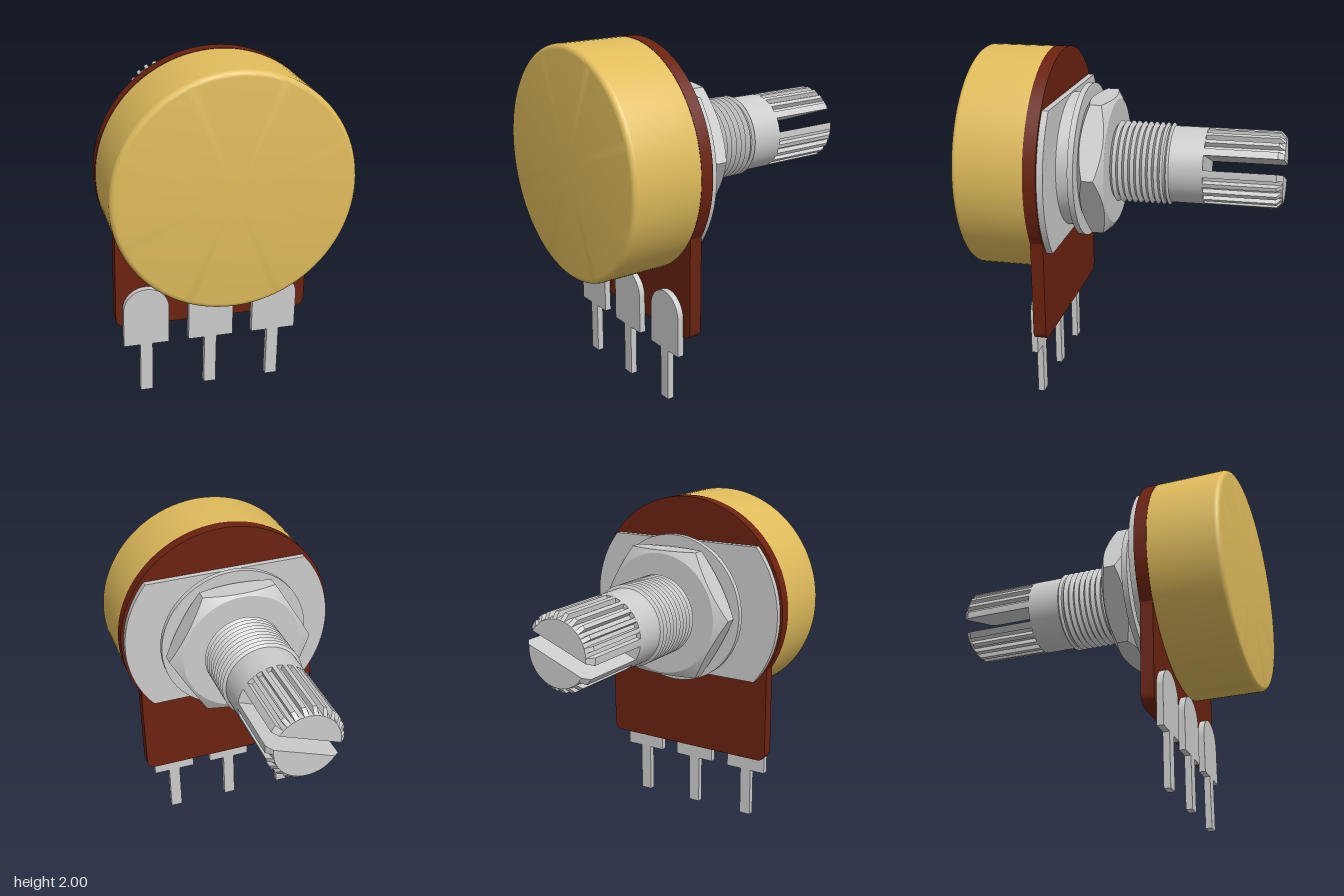
import * as THREE from 'three';
import { toCreasedNormals } from 'three/addons/utils/BufferGeometryUtils.js';

export function createModel() {
  const model = new THREE.Group();
  model.name = 'potentiometer';
  // everything hangs on the shaft axis, turned very slightly about it
  const body = new THREE.Group();
  body.name = 'body';
  body.position.y = 1.35;
  body.rotation.z = -0.0136;
  model.add(body);

  const metal = new THREE.MeshStandardMaterial({ color: 0xcccccc });
  const gold = new THREE.MeshStandardMaterial({ color: 0xe0bc5c });
  const brown = new THREE.MeshStandardMaterial({ color: 0x6a2210 });

  const add = (name, geometry, material, crease = 0.4) => {
    const mesh = new THREE.Mesh(toCreasedNormals(geometry, crease), material);
    mesh.name = name;
    body.add(mesh);
    return mesh;
  };
  // profile of [radius, z] pairs, z rising, turned about the z axis
  const turned = (profile, segments = 72) =>
    new THREE.LatheGeometry(profile.map(([r, z]) => new THREE.Vector2(r, z)), segments).rotateX(Math.PI / 2);
  const disc = (r, z0, z1) => turned([[0, z0], [r, z0], [r, z1], [0, z1]]);
  const slab = (shape, z0, z1, steps = 1) =>
    new THREE.ExtrudeGeometry(shape, { depth: z1 - z0, steps, bevelEnabled: false, curveSegments: 40 }).translate(0, 0, z0);

  // can with a rounded front rim
  const can = [[0, 0.465], [0.648, 0.465]];
  for (let i = 0; i <= 6; i++) {
    const a = (i / 6) * Math.PI / 2;
    can.push([0.618 + 0.03 * Math.cos(a), 0.845 + 0.03 * Math.sin(a)]);
  }
  can.push([0, 0.875]);
  add('can', turned(can, 96), gold);

  // board: disc with a rectangular tongue
  const R = 0.65, w = 0.555, bottom = -0.928, c = 0.06;
  const start = -Math.acos(w / R);
  const board = new THREE.Shape();
  board.absarc(0, 0, R, start, Math.PI - start, false);
  board.lineTo(-w, bottom + c);
  board.quadraticCurveTo(-w, bottom, -w + c, bottom);
  board.lineTo(w - c, bottom);
  board.quadraticCurveTo(w, bottom, w, bottom + c);
  board.closePath();
  add('board', slab(board, 0.395, 0.468), brown);

  // three solder terminals
  const tag = new THREE.Shape();
  tag.absarc(0, -0.82, 0.13, 0, Math.PI, false);
  for (const [x, y] of [[-0.13, -1.04], [-0.035, -1.04], [-0.035, -1.343], [0.035, -1.343], [0.035, -1.04], [0.13, -1.04]])
    tag.lineTo(x, y);
  tag.closePath();
  for (const [i, name] of ['rightTerminal', 'middleTerminal', 'leftTerminal'].entries())
    add(name, slab(tag, 0.466, 0.503), metal).position.x = -0.012 + (i - 1) * 0.375;

  // mounting plate with flats at top and bottom
  const t = Math.asin(0.408 / 0.635);
  const plate = new THREE.Shape();
  plate.absarc(0, -0.01, 0.635, -t, t, false);
  plate.absarc(0, -0.01, 0.635, Math.PI - t, Math.PI + t, false);
  plate.closePath();
  add('mountingPlate', slab(plate, 0.36, 0.396), metal);

  add('boss', turned([[0, 0.27], [0.38, 0.27], [0.38, 0.29], [0.39, 0.29], [0.39, 0.365], [0, 0.365]]), metal);
  add('washer', disc(0.445, 0.247, 0.28), metal);

  // hex nut: outer rings pulled to a hexagon, edges cut by a cone
  const z0 = 0.095, z1 = 0.245, mid = (z0 + z1) / 2, face = 0.36;
  const nut = turned([[0.15, z0], [face, z0], [1, z0], [1, z1], [face, z1], [0.15, z1]]);
  const np = nut.attributes.position;
  for (let i = 0; i < np.count; i++) {
    const x = np.getX(i), y = np.getY(i), z = np.getZ(i);
    if (Math.hypot(x, y) < 0.9) continue;
    const a = Math.atan2(y, x), sector = Math.PI / 3;
    const off = a - (Math.floor(a / sector + 1e-5) + 0.5) * sector;
    const r = 0.376 / Math.cos(off);
    const cut = (r - face) * 0.577;
    np.setXYZ(i, r * Math.cos(a), r * Math.sin(a), z < mid ? z + cut : z - cut);
  }
  add('nut', nut, metal);

  // threaded bushing
  const thread = [[0, -0.245]], turns = 10, pitch = 0.034;
  for (let i = 0; i < turns; i++) {
    const z = -0.245 + i * pitch;
    thread.push([0.212, z], [0.237, z + pitch / 2]);
  }
  thread.push([0.212, -0.245 + turns * pitch], [0, 0.1]);
  add('threadedBushing', turned(thread), metal);

  add('shaft', disc(0.22, -0.432, -0.2), metal);

  // splined shaft end: two toothed halves either side of the slot
  const half = new THREE.Shape();
  const gap = 0.042, edge = Math.asin(gap / 0.22), teeth = 10;
  const span = Math.PI - 2 * edge;
  half.moveTo(0.22 * Math.cos(edge), gap);
  for (let i = 0; i < teeth; i++) {
    const corners = i ? [[-0.2, 0.193], [0.2, 0.193], [0.3, 0.22], [0.7, 0.22]] : [[0.35, 0.22], [0.7, 0.22]];
    for (const [f, r] of corners) {
      const a = edge + ((i + f) / teeth) * span;
      half.lineTo(r * Math.cos(a), r * Math.sin(a));
    }
  }
  half.lineTo(-0.22 * Math.cos(edge), gap);
  half.closePath();
  const tip = -0.875, chamfer = 0.035;
  const spline = slab(half, tip, -0.43, 2);
  const sp = spline.attributes.position;
  for (let i = 0; i < sp.count; i++) {
    const x = sp.getX(i), y = sp.getY(i), z = sp.getZ(i);
    if (z < tip + 0.01) {
      const k = Math.min(1, 0.186 / Math.hypot(x, y));
      sp.setXY(i, x * k, Math.max(gap, y * k));
    } else if (z < -0.5) sp.setZ(i, tip + chamfer);
  }
  for (const [i, name] of ['upperSplineHalf', 'lowerSplineHalf'].entries())
    add(name, spline, metal, 0.2).rotation.z = 0.36 + i * Math.PI;

  return model;
}
